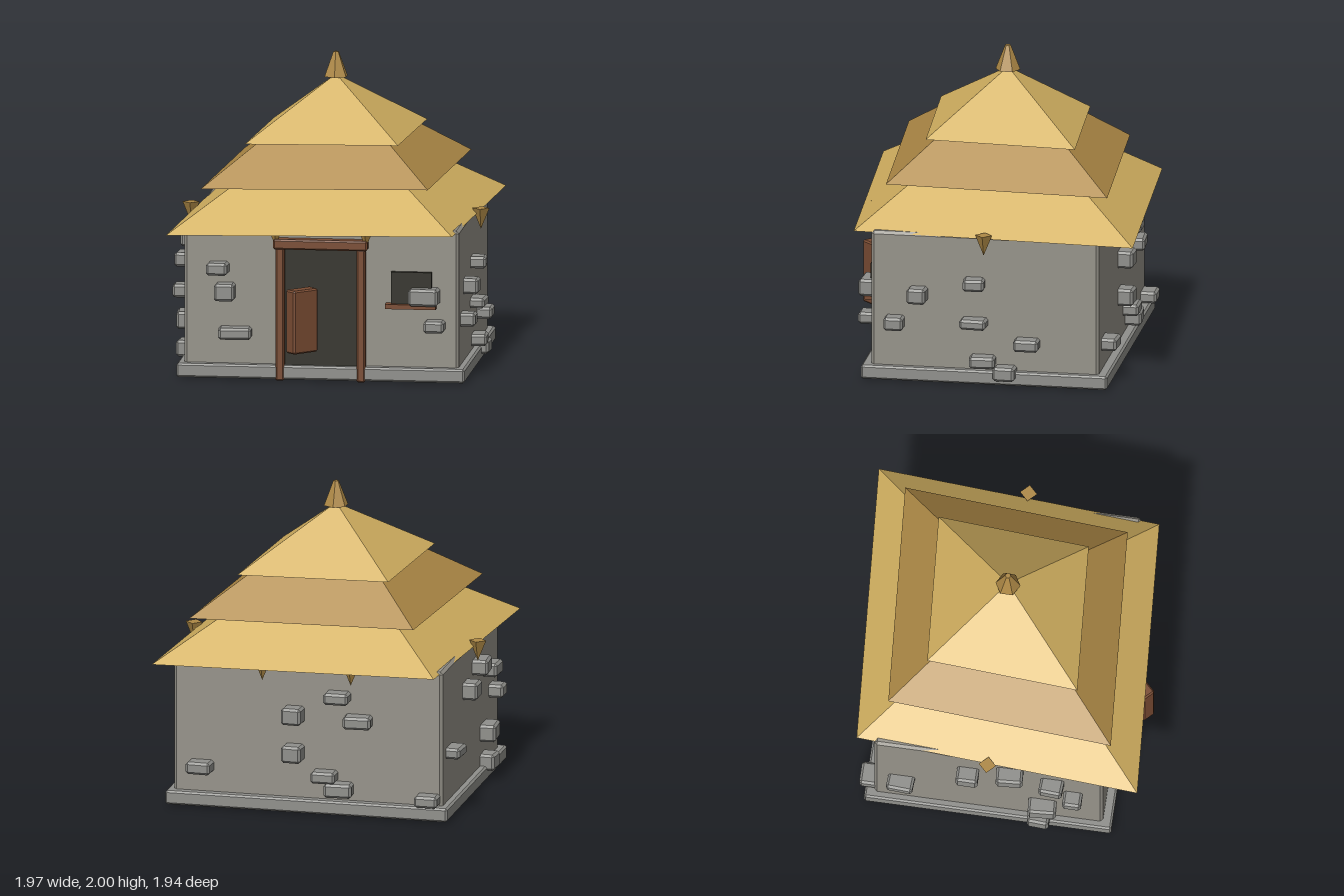
import * as THREE from 'three';
import { ConvexGeometry } from 'three/addons/geometries/ConvexGeometry.js';

const mat = (name, color) => {
  const m = new THREE.MeshStandardMaterial({ color });
  m.name = name;
  return m;
};

export function createModel() {
  const wall = mat('wall plaster', 0x96938a);
  const stone = mat('stone', 0x90908c);
  const thatch = mat('light thatch', 0xd2b060);
  const darkThatch = mat('dark thatch', 0xae8946);
  const wood = mat('wood', 0x7a4c33);
  const dark = mat('dark opening', 0x33322a);

  const root = new THREE.Group();
  root.name = 'hut';

  const add = (parent, name, geometry, material, x = 0, y = 0, z = 0) => {
    const mesh = new THREE.Mesh(geometry, material);
    mesh.name = name;
    mesh.position.set(x, y, z);
    parent.add(mesh);
    return mesh;
  };

  // Box with chamfered edges and flat faces
  const chamferBox = (w, h, d, b) => {
    const pts = [];
    for (const i of [-1, 1]) for (const j of [-1, 1]) for (const k of [-1, 1]) {
      const X = i * w / 2, Y = j * h / 2, Z = k * d / 2;
      pts.push(
        new THREE.Vector3(X, Y - j * b, Z - k * b),
        new THREE.Vector3(X - i * b, Y, Z - k * b),
        new THREE.Vector3(X - i * b, Y - j * b, Z));
    }
    return new ConvexGeometry(pts);
  };

  // Flat-faced cone or frustum
  const faceted = (top, bottom, h, sides) => {
    const g = new THREE.CylinderGeometry(top, bottom, h, sides).toNonIndexed();
    g.computeVertexNormals();
    return g;
  };

  // Walls and plinth
  add(root, 'walls', chamferBox(1.76, 0.95, 1.47, 0.018), wall, 0, 0.505, 0);
  add(root, 'plinth', chamferBox(1.85, 0.09, 1.59, 0.012), stone, 0, 0.053, 0);

  // Stacked thatch tiers: name, base y, apex y, long and short corner radius, tilt
  const tiers = [
    ['lowerRoof', 0.965, 1.62, 1.37, 1.205, 0.007, thatch],
    ['middleRoof', 1.232, 1.81, 1.09, 0.953, 0.007, darkThatch],
    ['upperRoof', 1.475, 1.85, 0.735, 0.643, 0, thatch],
  ];
  for (const [name, y0, y1, long, short, tilt, material] of tiers) {
    const h = y1 - y0;
    const g = new THREE.CylinderGeometry(0, 1, h, 4).toNonIndexed();
    g.translate(0, h / 2, 0);
    g.scale(short, 1, long);
    g.rotateX(tilt);
    g.rotateY(-Math.PI / 4);
    g.computeVertexNormals();
    add(root, name, g, material, 0, y0, 0);
  }
  add(root, 'finial', faceted(0.018, 0.08, 0.16, 6), darkThatch, 0, 1.915, 0);

  // Pointed thatch tufts hanging under the eaves
  const tuft = faceted(0.055, 0, 0.135, 4);
  for (const [x, z] of [[0.93, 0], [-0.93, 0], [0.29, 0.78], [-0.29, 0.78], [0.29, -0.78], [-0.29, -0.78]])
    add(root, 'eaveTuft', tuft, darkThatch, x, 0.935, z);

  // Doorway
  add(root, 'doorOpening', new THREE.BoxGeometry(0.48, 0.755, 0.04), dark, 0, 0.475, 0.735);
  for (const s of [-1, 1])
    add(root, 'doorPost', chamferBox(0.055, 0.86, 0.08, 0.01), wood, s * 0.26, 0.43, 0.762);
  add(root, 'doorLintel', chamferBox(0.605, 0.065, 0.09, 0.01), wood, 0, 0.883, 0.765);
  const leaf = add(root, 'doorLeaf', chamferBox(0.195, 0.41, 0.09, 0.01), wood, -0.109, 0.405, 0.864);
  leaf.rotation.y = Math.PI / 4;

  // Window
  add(root, 'windowOpening', new THREE.BoxGeometry(0.26, 0.205, 0.04), dark, 0.58, 0.612, 0.746);
  add(root, 'windowSill', new THREE.BoxGeometry(0.325, 0.03, 0.08), wood, 0.577, 0.495, 0.76);

  // Protruding stones per wall: along-wall position, y, width, height
  const sides = [
    ['frontStones', 0, 0.73, [
      [-0.66, 0.715, 0.135, 0.08], [-0.615, 0.565, 0.13, 0.11], [-0.55, 0.3, 0.21, 0.075],
      [0.665, 0.56, 0.19, 0.11], [0.73, 0.37, 0.13, 0.075]]],
    ['leftStones', Math.PI / 2, 0.87, [
      [-0.43, 0.58, 0.12, 0.1], [-0.58, 0.39, 0.125, 0.085], [-0.065, 0.67, 0.135, 0.075],
      [-0.065, 0.41, 0.17, 0.065], [0.275, 0.285, 0.16, 0.075], [-0.01, 0.16, 0.165, 0.075],
      [0.135, 0.09, 0.14, 0.09]]],
    ['backStones', Math.PI, 0.73, [
      [-0.09, 0.645, 0.13, 0.11], [0.2, 0.78, 0.16, 0.075], [0.335, 0.63, 0.18, 0.08],
      [-0.09, 0.395, 0.13, 0.11], [0.115, 0.255, 0.16, 0.075], [0.21, 0.175, 0.18, 0.09],
      [-0.7, 0.265, 0.16, 0.08], [0.79, 0.14, 0.15, 0.075]]],
    ['rightStones', -Math.PI / 2, 0.87, [
      [-0.56, 0.42, 0.17, 0.07], [-0.13, 0.71, 0.14, 0.11], [0.14, 0.8, 0.17, 0.1],
      [0.41, 0.71, 0.15, 0.09], [0.545, 0.53, 0.12, 0.085], [0.35, 0.31, 0.18, 0.11],
      [0.33, 0.12, 0.14, 0.105]]],
  ];
  for (const [name, turn, face, list] of sides) {
    const group = new THREE.Group();
    group.name = name;
    group.rotation.y = turn;
    list.forEach(([u, y, w, h], i) => {
      const s = add(group, 'stone', chamferBox(w, h, 0.14, 0.015), stone, u, y, face + 0.035);
      s.rotation.y = ((i % 3) - 1) * 0.06;
    });
    root.add(group);
  }
  return root;
}
